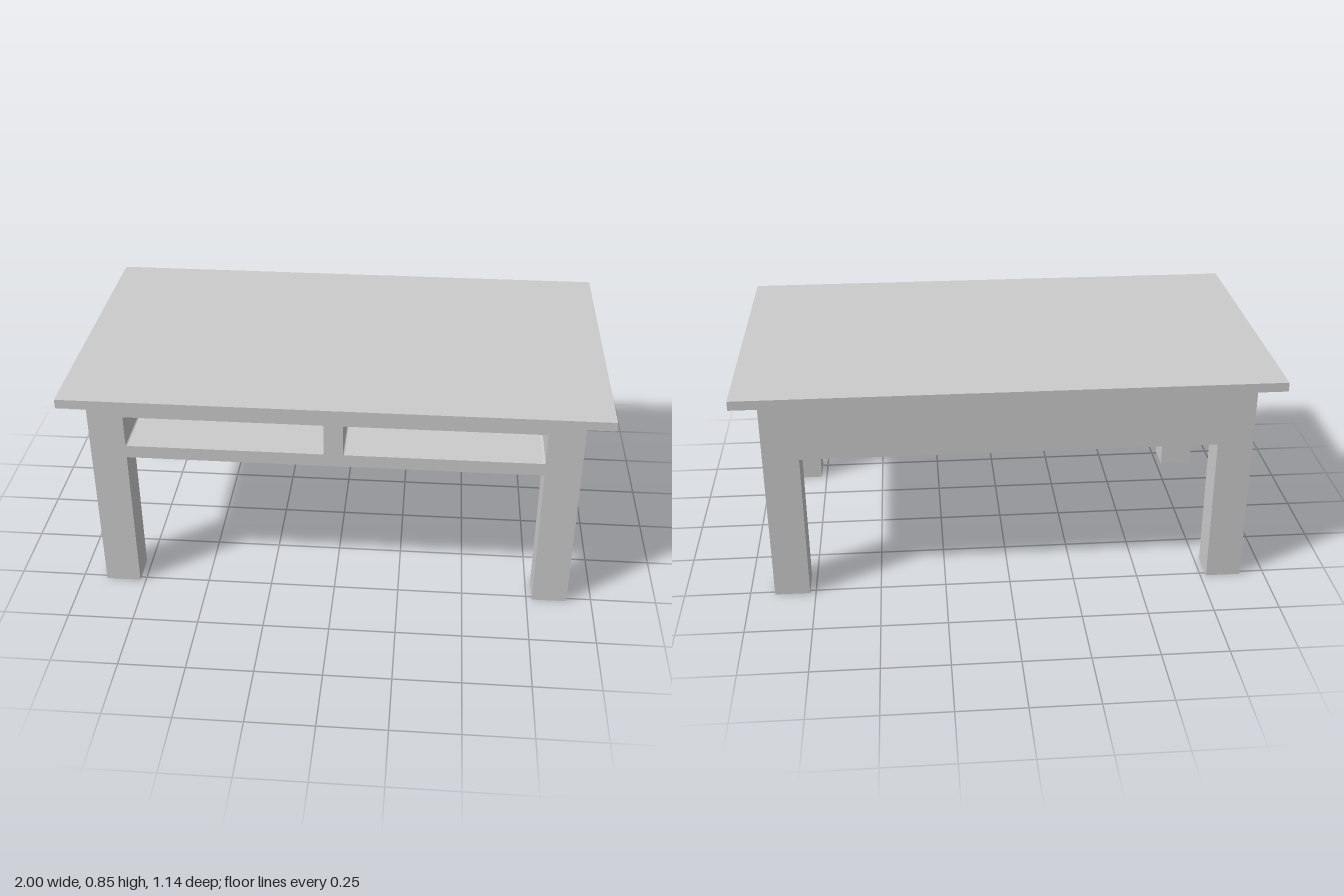
import * as THREE from 'three';

const material = new THREE.MeshStandardMaterial({ color: 0xcccccc, flatShading: true });

// Rectangle outline with small rounded corners
function roundedRect(path, x0, y0, x1, y1, r) {
  path.moveTo(x0 + r, y0);
  path.lineTo(x1 - r, y0);
  path.quadraticCurveTo(x1, y0, x1, y0 + r);
  path.lineTo(x1, y1 - r);
  path.quadraticCurveTo(x1, y1, x1 - r, y1);
  path.lineTo(x0 + r, y1);
  path.quadraticCurveTo(x0, y1, x0, y1 - r);
  path.lineTo(x0, y0 + r);
  path.quadraticCurveTo(x0, y0, x0 + r, y0);
  return path;
}

export function createModel() {
  const model = new THREE.Group();
  model.name = 'table';

  const add = (name, geometry, x, y, z) => {
    const mesh = new THREE.Mesh(geometry, material);
    mesh.name = name;
    mesh.position.set(x, y, z);
    model.add(mesh);
  };
  const box = (name, x0, x1, y0, y1, z0, z1) =>
    add(name, new THREE.BoxGeometry(x1 - x0, y1 - y0, z1 - z0),
      (x0 + x1) / 2, (y0 + y1) / 2, (z0 + z1) / 2);

  const halfW = 0.905, halfD = 0.517;      // outer size of frame and legs
  const bottom = 0.583, top = 0.817;       // frame height range
  const legW = 0.133, legD = 0.122;
  const backWall = 0.05;

  // Overhanging top
  box('tabletop', -1, 1, top, 0.852, -0.57, 0.57);

  // Frame with two open compartments at the front
  const profile = new THREE.Shape();
  profile.moveTo(-halfW, bottom);
  profile.lineTo(halfW, bottom);
  profile.lineTo(halfW, top);
  profile.lineTo(-halfW, top);
  profile.closePath();
  for (const [x0, x1] of [[-0.772, -0.035], [0.035, 0.772]])
    profile.holes.push(roundedRect(new THREE.Path(), x0, 0.633, x1, 0.757, 0.008));
  add('frame', new THREE.ExtrudeGeometry(profile,
    { depth: 2 * halfD - backWall, bevelEnabled: false, curveSegments: 3 }),
  0, 0, -halfD + backWall);
  box('backPanel', -halfW, halfW, bottom, top, -halfD, -halfD + backWall);

  // Four square legs flush with the frame corners
  for (const [sx, side] of [[1, 'Left'], [-1, 'Right']])
    for (const [sz, end] of [[1, 'front'], [-1, 'back']])
      add(`${end}${side}Leg`, new THREE.BoxGeometry(legW, bottom, legD),
        sx * (halfW - legW / 2), bottom / 2, sz * (halfD - legD / 2));

  return model;
}
